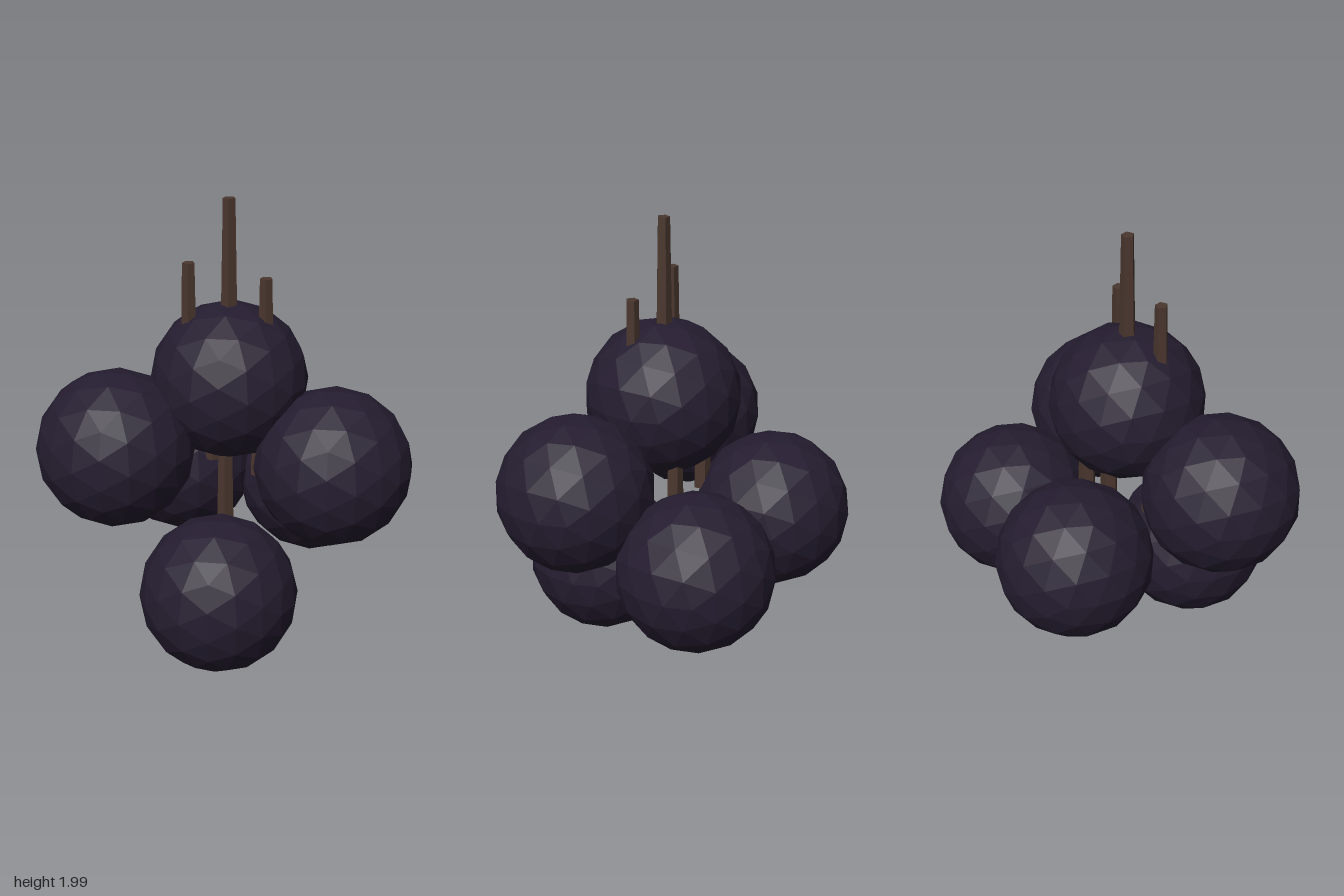
import * as THREE from 'three';

export function createModel() {
  const group = new THREE.Group();
  const skin = new THREE.MeshStandardMaterial({ color: 0x251d30, flatShading: true });
  const wood = new THREE.MeshStandardMaterial({ color: 0x4a372e, flatShading: true });

  // Shared low-poly berry and five-sided tapering stem
  const berryShape = new THREE.IcosahedronGeometry(0.342, 2);
  const stemBottom = 0.1, stemTop = 0.795;
  const stemShape = new THREE.CylinderGeometry(0.028, 0.04, stemTop - stemBottom, 5);
  stemShape.translate(0, (stemTop + stemBottom) / 2, 0);

  // Berry centres: the crown first, then the ones hanging around it
  const axisZ = 0.035;
  const berries = [
    ['topBerry', 0, 1.205, axisZ],
    ['rightBerry', -0.465, 0.94, 0.235],
    ['leftBerry', 0.465, 0.877, 0.165],
    ['backRightBerry', -0.27, 0.675, -0.365],
    ['backLeftBerry', 0.335, 0.605, -0.365],
    ['frontBerry', 0, 0.342, 0.37],
  ];

  for (const [name, x, y, z] of berries) {
    const berry = new THREE.Mesh(berryShape, skin);
    berry.name = name;
    berry.position.set(x, y, z);

    // Each upright stem is drawn in towards the middle of the bunch
    const stem = new THREE.Mesh(stemShape, wood);
    stem.name = name.replace('Berry', 'Stem');
    stem.position.set(x * 0.35, y, axisZ + (z - axisZ) * 0.35);
    group.add(berry, stem);
  }
  return group;
}
